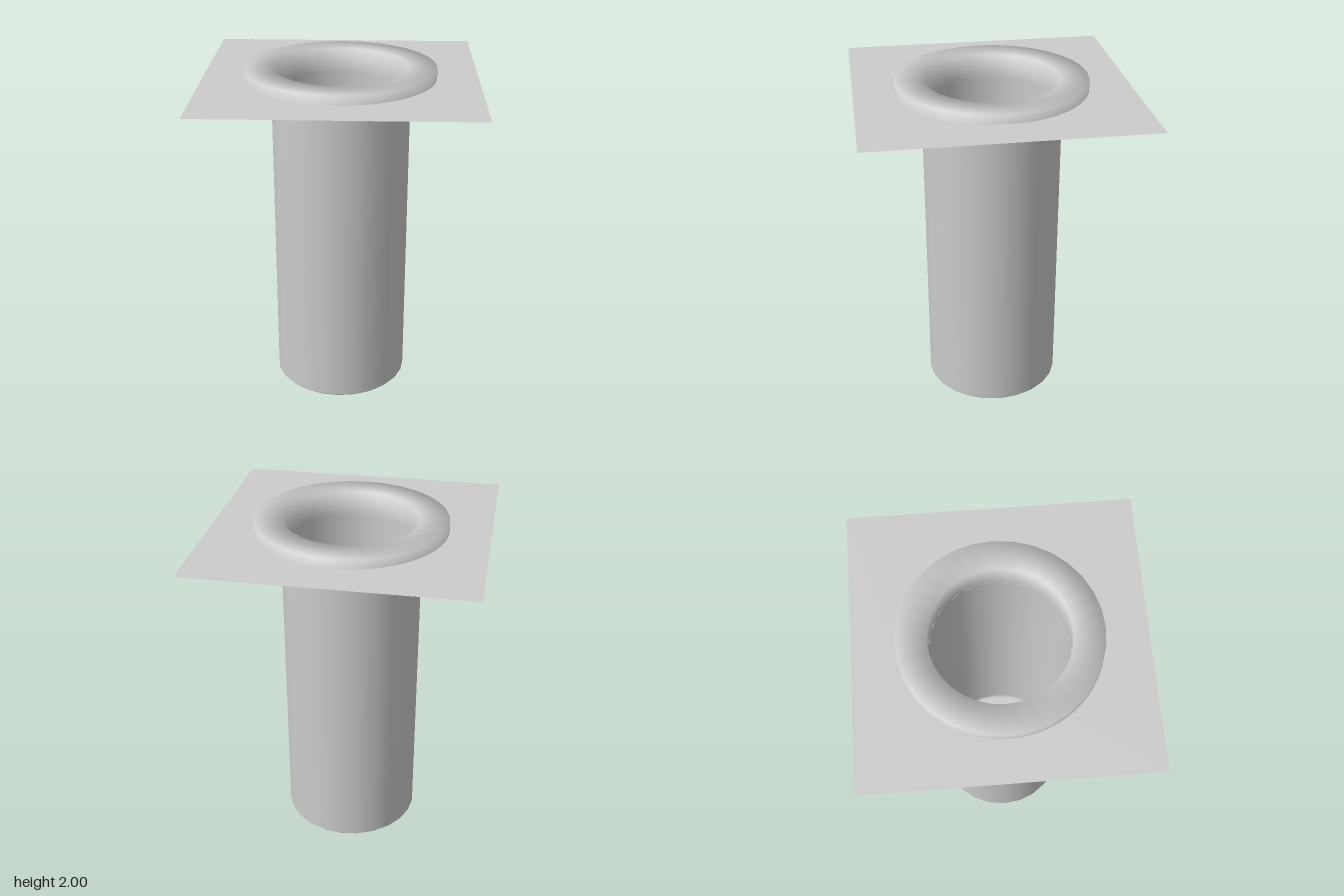
import * as THREE from 'three';

export function createModel() {
  const group = new THREE.Group();
  const stone = new THREE.MeshStandardMaterial({ color: 0xcccccc, side: THREE.DoubleSide });
  stone.name = 'paleGrey';

  const add = (name, geometry) => {
    const mesh = new THREE.Mesh(geometry, stone);
    mesh.name = name;
    group.add(mesh);
    return mesh;
  };
  const lathe = (points, sides) =>
    new THREE.LatheGeometry(points.map(([r, y]) => new THREE.Vector2(r, y)), sides);

  // Deep shaft, open at the top, with a small bevel round its floor
  add('shaft', lathe([[0, 0], [0.39, 0], [0.405, 0.015], [0.405, 1.85]], 24));

  // Raised rim: outer wall, flat top and inner lining, open underneath
  add('rim', lathe([[0.555, 1.85], [0.555, 2], [0.385, 2], [0.385, 1.85]], 32));

  // Narrow ledge joining the lining to the shaft
  const ledge = add('shaftLedge', new THREE.RingGeometry(0.385, 0.405, 24));
  ledge.rotation.x = -Math.PI / 2;
  ledge.position.y = 1.85;

  // Square ground sheet with a round opening for the rim
  const h = 0.79;
  const sheet = new THREE.Shape([[-h, -h], [h, -h], [h, h], [-h, h]].map(([x, y]) => new THREE.Vector2(x, y)));
  sheet.holes.push(new THREE.Path().absarc(0, 0, 0.555, 0, Math.PI * 2, true));
  const ground = add('groundSheet', new THREE.ShapeGeometry(sheet, 32));
  ground.rotation.x = -Math.PI / 2;
  ground.position.y = 1.945;

  return group;
}
